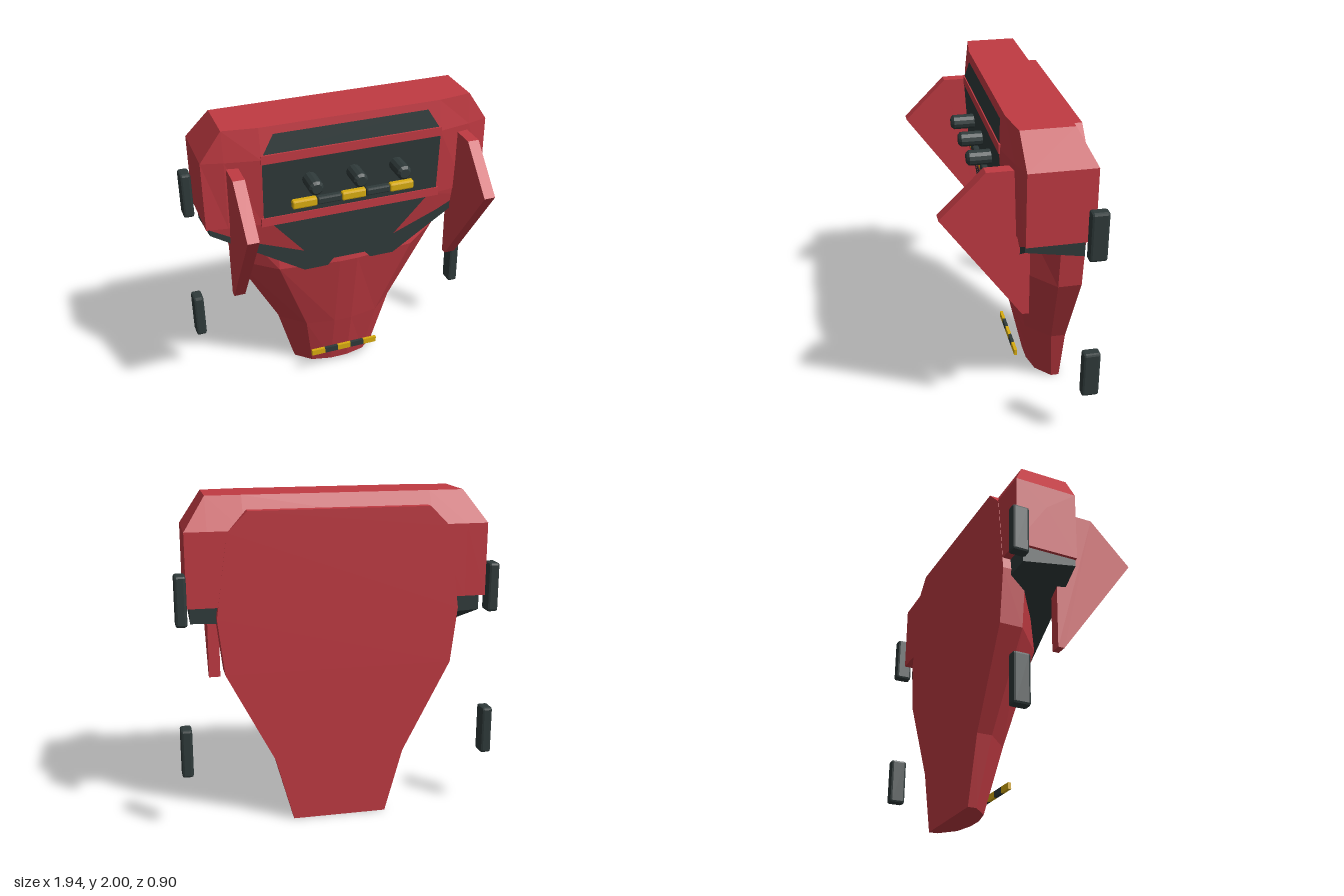
import * as THREE from 'three';
import { RoundedBoxGeometry } from 'three/addons/geometries/RoundedBoxGeometry.js';

const mat = (name, color) => Object.assign(new THREE.MeshStandardMaterial({ color, flatShading: true }), { name });

// Closed flat-faced solid through rings of [x, y, z] points, wound outward.
function loft(rings) {
  const tris = [];
  const n = rings[0].length;
  for (let r = 0; r < rings.length - 1; r++) {
    const a = rings[r], b = rings[r + 1];
    for (let i = 0; i < n; i++) {
      const j = (i + 1) % n;
      tris.push([a[i], a[j], b[j]], [a[i], b[j], b[i]]);
    }
  }
  const cap = (ring, flip) => {
    const c = [0, 1, 2].map(k => ring.reduce((s, p) => s + p[k], 0) / n);
    ring.forEach((p, i) => {
      const q = ring[(i + 1) % n];
      tris.push(flip ? [c, q, p] : [c, p, q]);
    });
  };
  cap(rings[0], true);
  cap(rings[rings.length - 1], false);
  const v = p => new THREE.Vector3(...p);
  const volume = tris.reduce((s, [a, b, c]) => s + v(a).dot(v(b).cross(v(c))), 0);
  if (volume < 0) tris.forEach(t => t.reverse());
  return toGeometry(tris);
}

function toGeometry(tris) {
  const g = new THREE.BufferGeometry();
  g.setAttribute('position', new THREE.Float32BufferAttribute(tris.flat(2), 3));
  g.computeVertexNormals();
  return g;
}

// Flat polygon as a fan of triangles from its first corner.
const fan = pts => toGeometry(pts.slice(2).map((p, i) => [pts[0], pts[i + 1], p]));

// Half outline followed by its mirror image.
const mirrored = pts => [...pts, ...pts.slice().reverse().map(([x, ...rest]) => [-x, ...rest])];

export function createModel() {
  const model = new THREE.Group();
  model.name = 'backpack';
  const red = mat('red shell', 0xc03a42);
  const lipRed = mat('red shell', 0xc03a42);
  lipRed.side = THREE.DoubleSide;
  const dark = mat('dark grey', 0x2f3a3a);
  const yellow = mat('yellow', 0xd8ac10);
  const add = (name, geometry, material, x = 0, y = 0, z = 0) => {
    const m = new THREE.Mesh(geometry, material);
    m.name = name;
    m.position.set(x, y, z);
    model.add(m);
    return m;
  };

  // Tapered lower hull: height, edge x, ridge x, front z, ridge z, side z
  const hull = [
    [0, 0.29, 0.19, -0.22, -0.25, -0.34],
    [0.4, 0.4, 0.25, -0.125, -0.16, -0.30],
    [0.96, 0.69, 0.45, -0.005, -0.05, -0.25],
    [1.3, 0.73, 0.45, -0.06, -0.1, -0.25],
    [1.8, 0.66, 0.4, -0.2, -0.22, -0.3],
    [1.92, 0.54, 0.4, -0.3, -0.3, -0.32],
  ].map(([y, xe, xr, zf, zr, zs]) => mirrored([
    [xe, y, -0.392], [xe, y, zs], [xr, y, zr], [0.06, y, zf],
  ]));
  add('hull', loft(hull), red);

  // Wide upper housing with bevelled ends
  const housing = [
    [0.56, 2, [0.045, 0.075, 0.045], -0.29],
    [0.77, 2, [0.015, 0.035, 0.02], -0.29],
    [0.9, 1.81, [0, 0, 0], -0.39],
  ].map(([x, top, z, backTop]) => [
    [x, top, z[0]], [x, 1.81, z[1]], [x, 1.37, z[2]],
    [x, 1.37, -0.39], [x, 1.81, -0.39], [x, top, backTop],
  ]);
  const otherEnd = housing.map(r => r.map(([x, y, z]) => [-x, y, z])).reverse();
  add('housing', loft([...otherEnd, ...housing]), red);

  // Dark jaw below the housing, sloping back into the hull
  const jawFront = [[0.88, 1.38], [0.88, 1.33], [0.3, 0.955], [0.145, 0.955], [0.115, 1.0]];
  const jawBack = [[0.88, 1.38], [0.88, 1.27], [0.4, 1.25], [0.145, 1.25], [0.115, 1.25]];
  add('jaw', loft([
    mirrored(jawFront.map(([x, y]) => [x, y, 0])),
    mirrored(jawBack.map(([x, y]) => [x, y, -0.34])),
  ]), dark);

  // Dark window strip and instrument panel on the front face
  add('window', fan([
    [-0.55, 1.84, 0.075], [0.55, 1.84, 0.075], [0.48, 1.955, 0.057], [-0.48, 1.955, 0.057],
  ]), dark);
  add('instrumentPanel', fan([
    [-0.56, 1.41, 0.053], [0.56, 1.41, 0.053], [0.56, 1.78, 0.078], [-0.56, 1.78, 0.078],
  ]), dark);
  add('upperRail', new THREE.BoxGeometry(1.13, 0.055, 0.03), red, 0, 1.81, 0.066);
  add('lowerRail', new THREE.BoxGeometry(1.15, 0.055, 0.03), red, 0, 1.387, 0.045);

  // Three nozzles with chamfered tips
  const nozzle = new THREE.LatheGeometry([
    [0.045, 0], [0.045, 0.13], [0.03, 0.145], [0, 0.145],
  ].map(p => new THREE.Vector2(...p)), 12).rotateX(Math.PI / 2);
  for (const x of [-0.275, 0, 0.275]) add('nozzle', nozzle, dark, x, 1.64, 0.068);

  // Striped bars: one on the panel, one standing off the hull
  for (let i = -2; i <= 2; i++) {
    const isYellow = i % 2 === 0;
    const m = isYellow ? yellow : dark;
    add('panelStripe', new RoundedBoxGeometry(0.155, isYellow ? 0.055 : 0.048, 0.045, 1, 0.01), m, i * 0.156, 1.487, 0.073);
    add('hullStripe', new THREE.BoxGeometry(0.094, 0.04, 0.02), m, i * 0.094, 0.18, -0.108);
  }

  // Pointed side fin, drawn as [z, y] and extruded across x
  const finShape = new THREE.Shape([
    [0.19, 1.77], [0.45, 1.51], [-0.02, 0.85], [-0.06, 0.85], [-0.06, 1.77],
  ].map(([z, y]) => new THREE.Vector2(-z, y)));
  const fin = new THREE.ExtrudeGeometry(finShape, { depth: 0.07, bevelEnabled: false })
    .translate(0, 0, -0.035).rotateY(Math.PI / 2);
  const pad = new RoundedBoxGeometry(0.068, 0.3, 0.105, 1, 0.015);

  for (const s of [-1, 1]) {
    add('sideFin', fin, red, s * 0.725);
    // Red lip folding down from the housing over the jaw
    add('lip', fan([
      [0.52, 1.375, 0.046], [0.3, 1.1, 0.004], [0.6, 1.22, 0.004],
      [0.76, 1.3, 0.004], [0.9, 1.38, 0],
    ].map(([x, y, z]) => [s * x, y, z])), lipRed);
    // Upper and lower dark pads
    for (const y of [0.505, 1.425]) add('sidePad', pad, dark, s * 0.934, y, -0.393);
  }
  return model;
}
